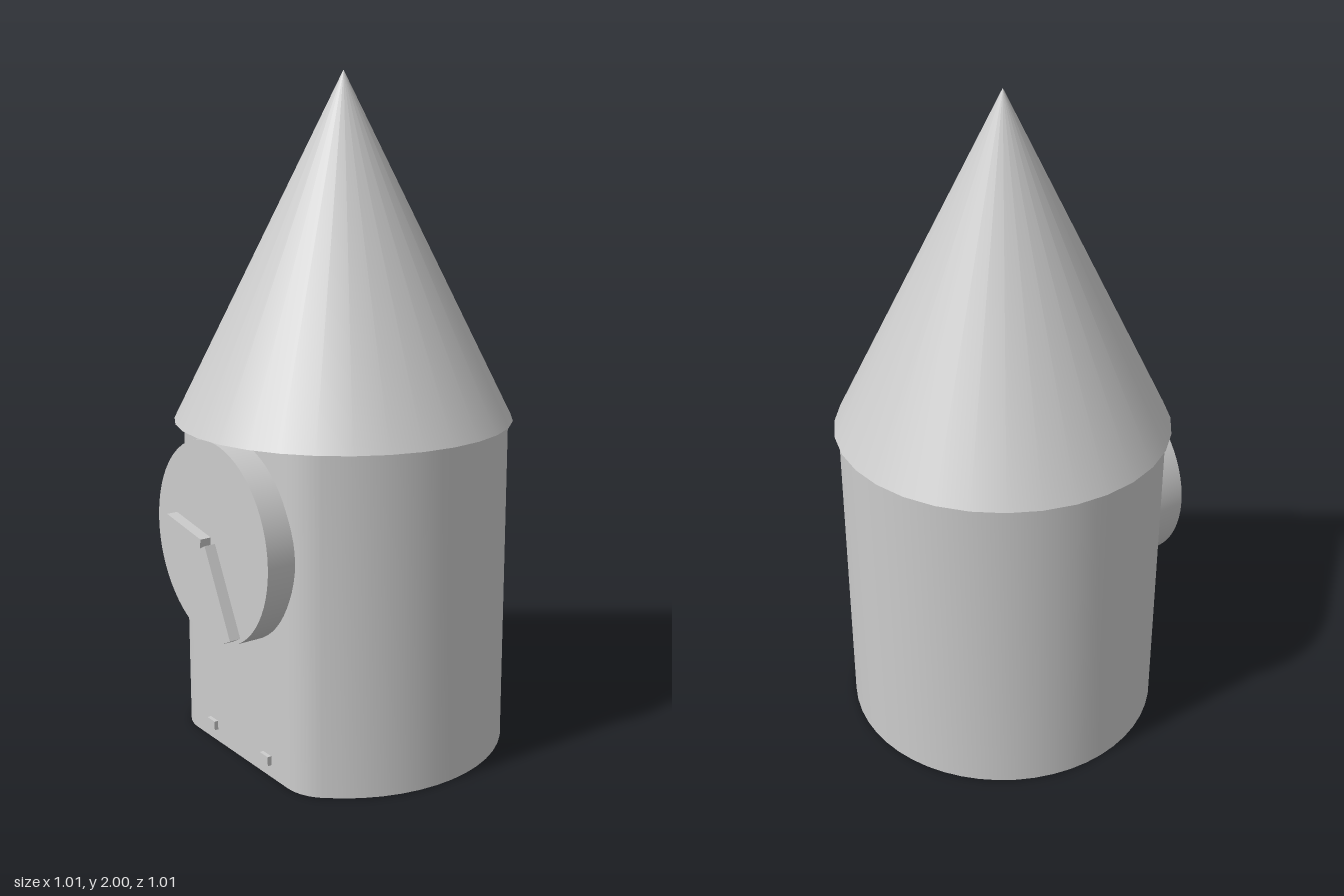
import * as THREE from 'three';
import { toCreasedNormals } from 'three/addons/utils/BufferGeometryUtils.js';

export function createModel() {
  const group = new THREE.Group();
  const material = new THREE.MeshStandardMaterial({ color: 0xcccccc });
  const add = (name, geometry, x, y, z) => {
    const mesh = new THREE.Mesh(geometry, material);
    mesh.name = name;
    mesh.position.set(x, y, z);
    group.add(mesh);
    return mesh;
  };

  // Round tower body with a flat front and softened corners
  const radius = 0.49, front = 0.385, a = THREE.MathUtils.degToRad(46);
  const cornerX = radius * Math.sin(a), cornerZ = radius * Math.cos(a);
  const plan = new THREE.Shape();
  plan.moveTo(-0.246, -front);
  plan.lineTo(0.246, -front);
  plan.quadraticCurveTo(0.309, -front, cornerX, -cornerZ);
  plan.absarc(0, 0, radius, -Math.PI / 2 + a, Math.PI * 1.5 - a, false);
  plan.quadraticCurveTo(-0.309, -front, -0.246, -front);
  const body = new THREE.ExtrudeGeometry(plan, { depth: 0.993, bevelEnabled: false, curveSegments: 20 });
  body.rotateX(-Math.PI / 2);
  add('towerBody', toCreasedNormals(body, 0.6), 0.002, 0, 0);

  // Pointed roof
  add('coneRoof', new THREE.ConeGeometry(0.505, 1.008, 32), 0, 1.496, 0);

  // Clock face standing out from the flat front
  const dial = new THREE.CylinderGeometry(0.298, 0.298, 0.103, 64).rotateX(Math.PI / 2);
  add('clockFace', dial, -0.008, 0.68, 0.4165);

  // Clock hands, each a bar between two points
  const addHand = (name, x1, y1, x2, y2, width) => {
    const length = Math.hypot(x2 - x1, y2 - y1);
    const bar = new THREE.BoxGeometry(length, width, 0.036);
    const hand = add(name, bar, (x1 + x2) / 2, (y1 + y2) / 2, 0.484);
    hand.rotation.z = Math.atan2(y2 - y1, x2 - x1);
  };
  addHand('hourHand', -0.008, 0.675, -0.198, 0.706, 0.043);
  addHand('minuteHand', -0.003, 0.672, 0.124, 0.426, 0.046);

  // Two small pegs low on the front
  for (const x of [-0.145, 0.148]) {
    add('frontPeg', new THREE.BoxGeometry(0.042, 0.028, 0.025), x, 0.052, front);
  }

  return group;
}
